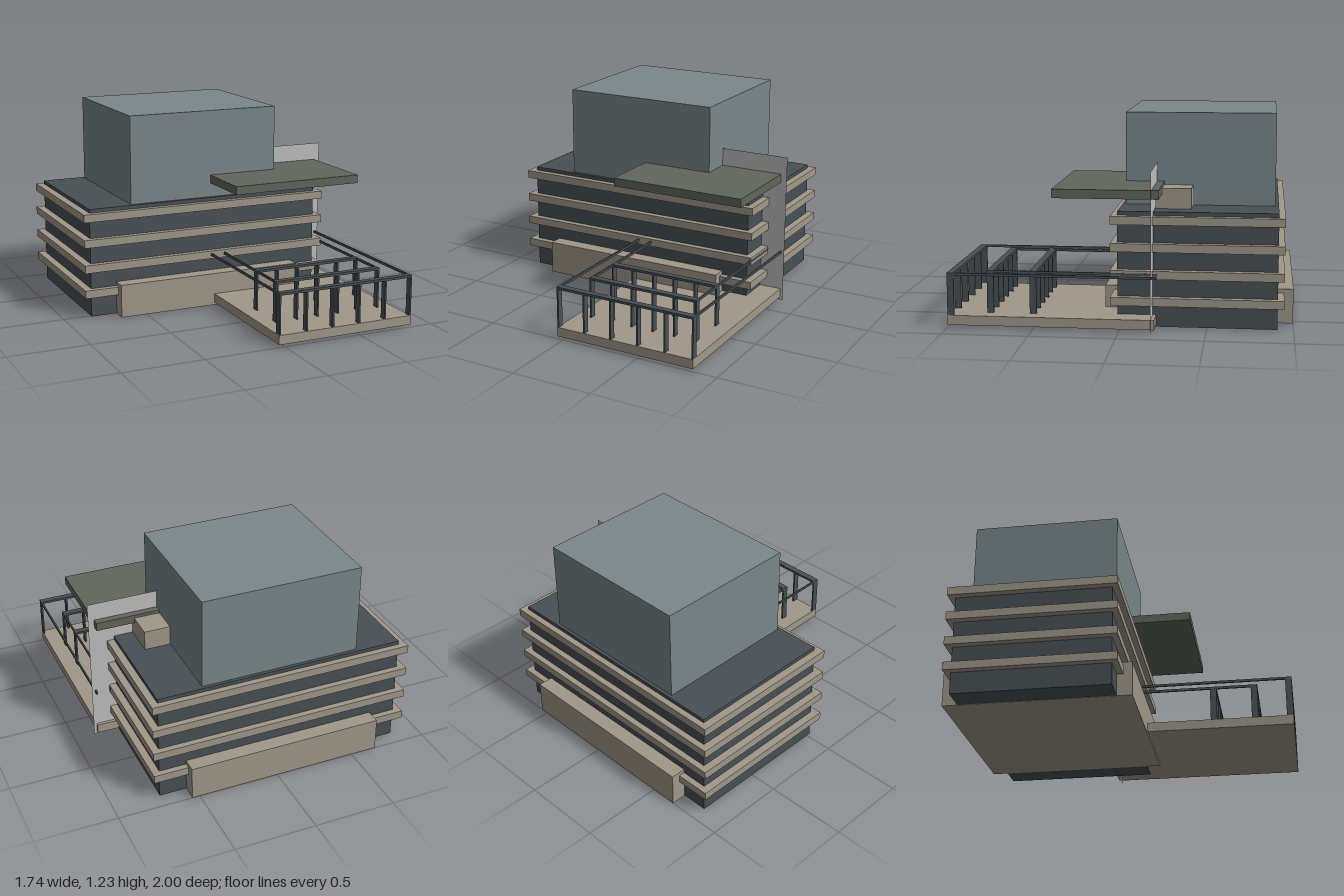
import * as THREE from 'three';

const material = (name, color, side = THREE.FrontSide) => {
  const m = new THREE.MeshStandardMaterial({ color, side });
  m.name = name;
  return m;
};

export function createModel() {
  const stone = material('stone', 0xa0998a);
  const slate = material('slate', 0x485054);
  const blueGrey = material('blue grey', 0x7a878b);
  const olive = material('olive', 0x61665c);
  const paleGrey = material('pale grey', 0xc0c0c0, THREE.DoubleSide);

  const model = new THREE.Group();
  model.name = 'building';

  // Box given by its extents on each axis
  const box = (name, mat, [x0, x1], [y0, y1], [z0, z1], parent = model) => {
    const mesh = new THREE.Mesh(new THREE.BoxGeometry(x1 - x0, y1 - y0, z1 - z0), mat);
    mesh.position.set((x0 + x1) / 2, (y0 + y1) / 2, (z0 + z1) / 2);
    mesh.name = name;
    parent.add(mesh);
  };

  // Main masses
  box('mainBlock', slate, [-0.827, 0.714], [0.002, 0.68], [-0.908, 0.022]);
  box('entranceBase', stone, [-0.663, 0.547], [0, 0.206], [-1, 0.112]);
  box('upperTower', blueGrey, [-0.55, 0.435], [0.68, 1.23], [-0.887, 0.002]);
  box('roofHut', stone, [0.4, 0.595], [0.68, 0.8], [-0.4, -0.19]);

  // Ledges around each floor
  const ledges = new THREE.Group();
  ledges.name = 'floorLedges';
  model.add(ledges);
  for (let i = 0; i < 4; i++) {
    const y = 0.132 + i * 0.1587;
    box('floorLedge', stone, [-0.874, 0.758], [y, y + 0.049], [-0.945, 0.06], ledges);
  }

  // Roof canopy and the thin wall that carries it
  box('canopy', olive, [-0.015, 0.832], [0.768, 0.82], [-0.228, 0.385]);
  const wall = new THREE.Mesh(new THREE.PlaneGeometry(0.47, 0.93), paleGrey);
  wall.position.set(0.635, 0.465, -0.185);
  wall.name = 'finWall';
  model.add(wall);

  // Terrace deck
  box('terraceDeck', stone, [-0.036, 0.852], [0.016, 0.073], [-0.205, 1]);

  // Pergola: cross frames of six posts under a beam
  const pergola = new THREE.Group();
  pergola.name = 'pergola';
  model.add(pergola);
  const bar = 0.01, top = [0.31, 0.325];
  const frame = (x0, x1, z) => {
    const depth = [z - 0.02, z + 0.02];
    box('crossBeam', slate, [x0, x1], top, depth, pergola);
    for (let i = 0; i < 6; i++) {
      const x = x0 + (i * (x1 - x0 - bar)) / 5;
      box('post', slate, [x, x + bar], [0.073, 0.31], depth, pergola);
    }
  };
  frame(-0.036, 0.852, 0.98);
  frame(0.053, 0.759, 0.765);
  frame(0.053, 0.759, 0.512);

  // Long rails running back to the building
  for (const [x, z1] of [[-0.036, 1], [0.842, 1], [0.053, 0.785], [0.749, 0.785]]) {
    box('sideRail', slate, [x, x + bar], top, [-0.217, z1], pergola);
  }

  return model;
}
